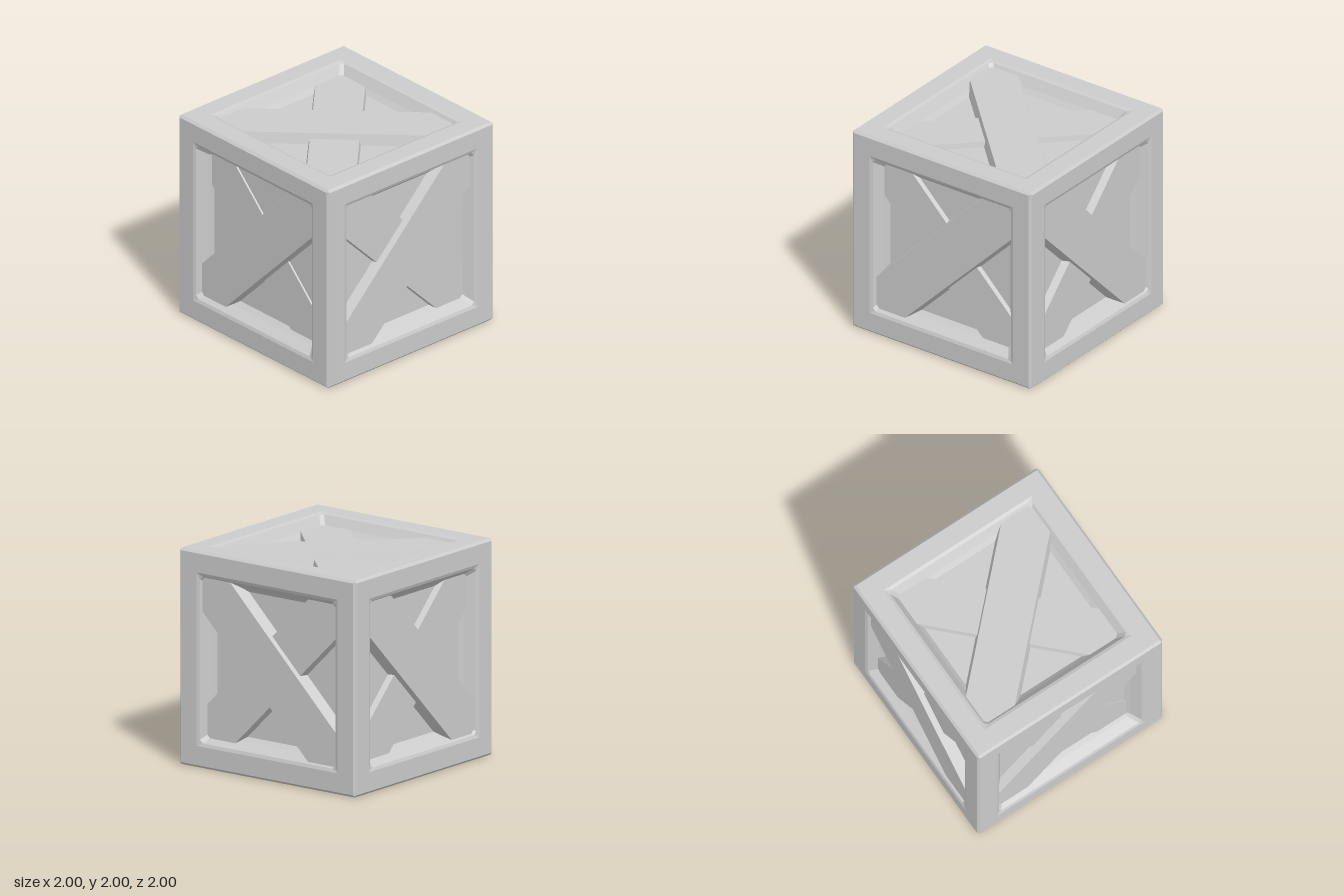
import * as THREE from 'three';

const material = new THREE.MeshStandardMaterial({ color: 0xcccccc, flatShading: true });

// Skin a stack of counter-clockwise rings and close the last one
function loft(rings) {
  const positions = [];
  const tri = (a, b, c) => {
    const area = new THREE.Triangle(a, b, c).getArea();
    if (area > 1e-7) for (const p of [a, b, c]) positions.push(p.x, p.y, p.z);
  };
  for (let r = 0; r < rings.length - 1; r++) {
    const outer = rings[r], inner = rings[r + 1], n = outer.length;
    for (let i = 0; i < n; i++) {
      const j = (i + 1) % n;
      tri(outer[i], outer[j], inner[j]);
      tri(outer[i], inner[j], inner[i]);
    }
  }
  const cap = rings[rings.length - 1];
  for (let i = 1; i < cap.length - 1; i++) tri(cap[0], cap[i], cap[i + 1]);
  const geometry = new THREE.BufferGeometry();
  geometry.setAttribute('position', new THREE.Float32BufferAttribute(positions, 3));
  geometry.computeVertexNormals();
  return geometry;
}

// Square ring with cut corners
function squareRing(half, depth, cut) {
  const ring = [];
  for (let k = 0; k < 4; k++) {
    for (const [x, y] of [[half, half - cut], [half - cut, half]]) {
      const [c, s] = [[1, 0], [0, 1], [-1, 0], [0, -1]][k];
      ring.push(new THREE.Vector3(x * c - y * s, x * s + y * c, 1 - depth));
    }
  }
  return ring;
}

// Diagonal plank outline, its ends trimmed to a square buried in the frame
function plankRing(k, depth, direction) {
  const e = 0.78;
  return [[e, e], [e - k, e], [-e, k - e], [-e, -e], [k - e, -e], [e, e - k]].map(([x, y]) =>
    direction > 0 ? new THREE.Vector3(x, y, 1 - depth) : new THREE.Vector3(-y, x, 1 - depth));
}

function mesh(name, geometry) {
  const m = new THREE.Mesh(geometry, material);
  m.name = name;
  return m;
}

const FLOOR = 0.14;

// Bevelled outer edge, flat frame, sloping recess wall and recessed panel
const frameGeometry = loft([
  squareRing(0.9885, 0.0115, 0),
  squareRing(0.977, 0, 0),
  squareRing(0.8, 0, 0),
  squareRing(0.77, 0.012, 0.03),
  squareRing(0.71, 0.097, 0.03),
  squareRing(0.67, FLOOR, 0.005),
]);

function plank(name, depth, direction) {
  const spread = 0.315 + 0.4 * (FLOOR - depth);
  return mesh(name, loft([
    plankRing(spread, FLOOR + 0.005, direction),
    plankRing(0.315, depth, direction),
  ]));
}

export function createModel() {
  const crate = new THREE.Group();
  crate.name = 'crate';
  const q = Math.PI / 2;
  // name, x turn, y turn, direction of the upper plank, depths of upper and lower planks
  const sides = [
    ['front', 0, 0, 1, 0.055, 0.125],
    ['right', 0, q, 1, 0.042, 0.1],
    ['back', 0, 2 * q, -1, 0.03, 0.07],
    ['left', 0, -q, -1, 0.032, 0.085],
    ['top', -q, 0, 1, 0.04, 0.092],
    ['bottom', q, 0, -1, 0.045, 0.1],
  ];
  for (const [name, rx, ry, direction, upper, lower] of sides) {
    const side = new THREE.Group();
    side.name = name + 'Side';
    side.add(
      mesh('framedPanel', frameGeometry),
      plank('upperPlank', upper, direction),
      plank('lowerPlank', lower, -direction),
    );
    side.rotation.set(rx, ry, 0);
    side.position.y = 1;
    crate.add(side);
  }
  return crate;
}
